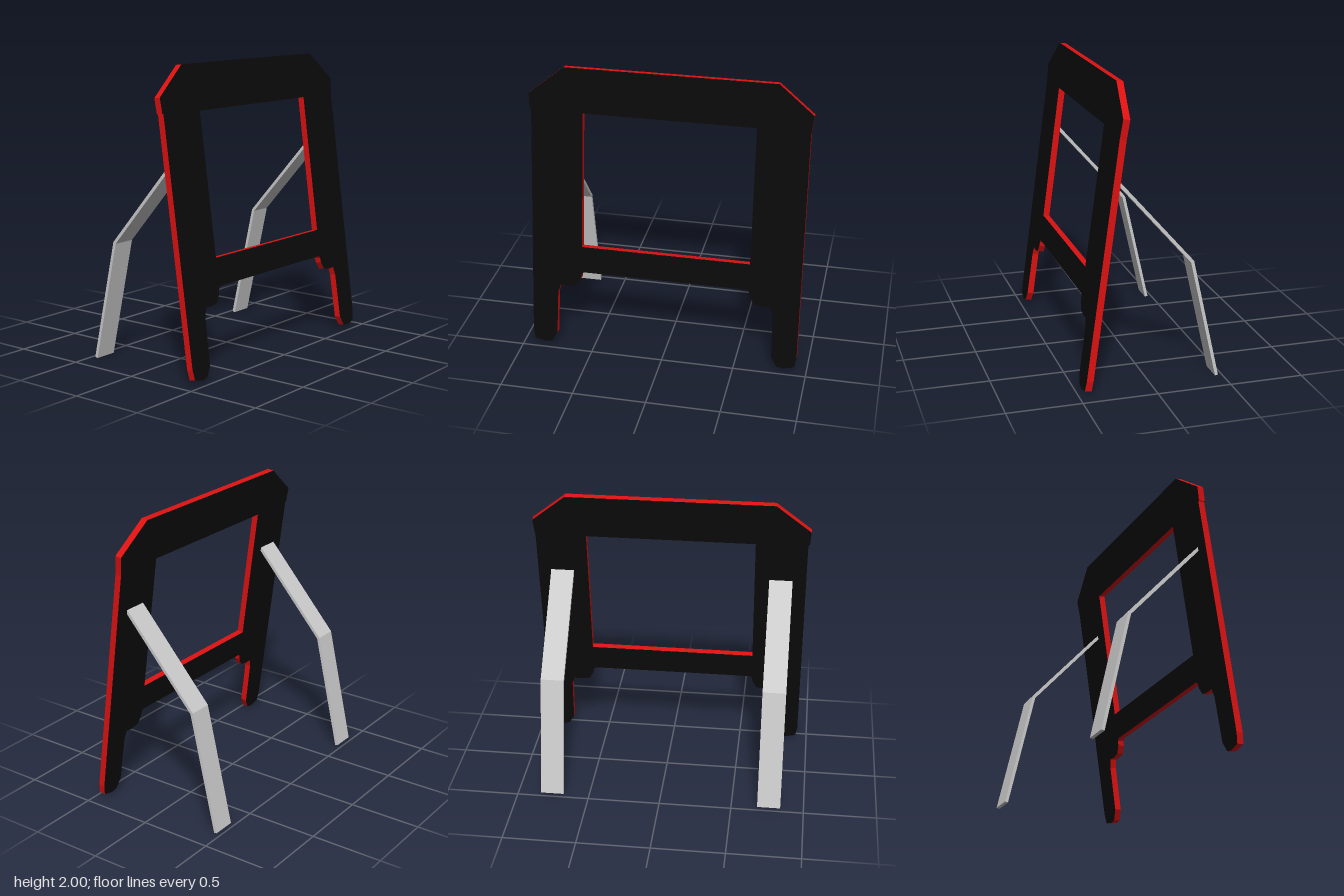
import * as THREE from 'three';

const TILT = 0.137, THICK = 0.045;

function polygon(points, PathType = THREE.Shape) {
  return new PathType(points.map(([x, y]) => new THREE.Vector2(x, y)));
}

export function createModel() {
  const model = new THREE.Group();
  const black = new THREE.MeshStandardMaterial({ color: 0x0a0a0a, flatShading: true });
  const red = new THREE.MeshStandardMaterial({ color: 0xdd1111, flatShading: true });
  const grey = new THREE.MeshStandardMaterial({ color: 0xcccccc, flatShading: true });

  // Foot and bracket outline of one side, from the outer edge to the cross bar
  const foot = [
    [0.93, 0.11], [0.917, 0.042], [0.84, 0.025], [0.795, 0.033], [0.757, 0.1],
    [0.754, 0.25], [0.75, 0.41], [0.732, 0.468], [0.68, 0.465], [0.618, 0.475],
    [0.588, 0.525], [0.582, 0.558], [0.57, 0.575],
  ];

  // Tilted front panel: black faces, red edges
  const outline = polygon([
    [-0.71, 2], [-0.95, 1.81], [-0.943, 1.71], [-0.933, 1.71],
    ...foot.map(([x, y]) => [-x, y]),
    ...foot.slice().reverse(),
    [0.93, 1.68], [0.945, 1.81], [0.71, 2],
  ]);
  outline.holes.push(polygon([[-0.58, 0.76], [-0.58, 1.7], [0.58, 1.7], [0.58, 0.76]], THREE.Path));
  const panelGeometry = new THREE.ExtrudeGeometry(outline, { depth: THICK, bevelEnabled: false });
  panelGeometry.translate(0, 0, -THICK).scale(1, 1 / Math.cos(TILT), 1);
  const panel = new THREE.Mesh(panelGeometry, [black, red]);
  panel.name = 'frontPanel';
  panel.position.z = 0.471;
  panel.rotation.x = -TILT;
  model.add(panel);

  // Bent rear legs, side profile in (z, y)
  const legProfile = polygon([
    [0.23, 1.412], [-0.288, 0.822], [-0.471, 0.005],
    [-0.45, 0], [-0.268, 0.812], [0.236, 1.386],
  ]);
  for (const [name, outerX] of [['leftRearLeg', 0.84], ['rightRearLeg', -0.68]]) {
    const geometry = new THREE.ExtrudeGeometry(legProfile, { depth: 0.16, bevelEnabled: false });
    const leg = new THREE.Mesh(geometry.rotateY(-Math.PI / 2), grey);
    leg.name = name;
    leg.position.x = outerX;
    model.add(leg);
  }
  return model;
}
